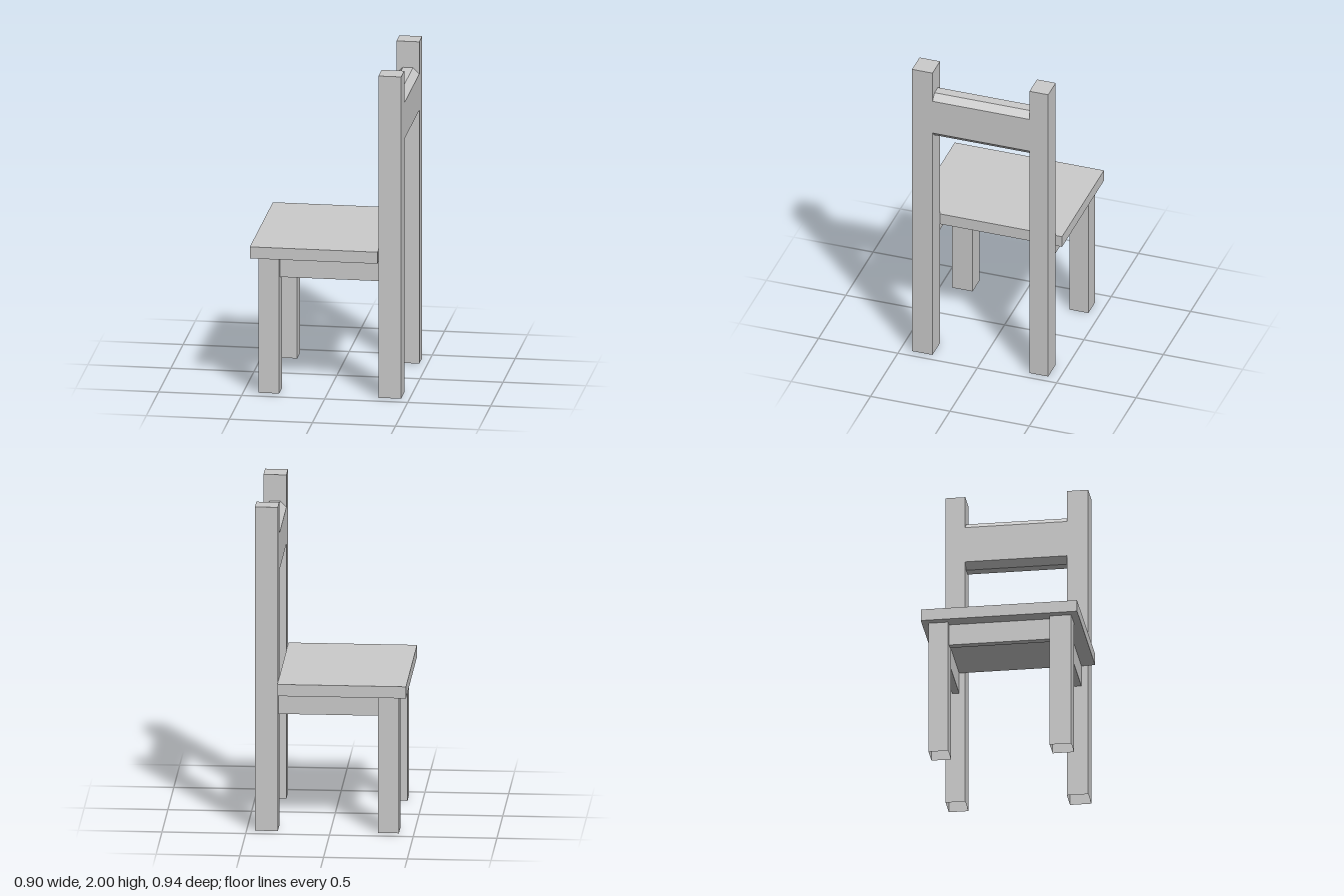
import * as THREE from 'three';

export function createModel() {
  const chair = new THREE.Group();
  chair.name = 'chair';
  const material = new THREE.MeshStandardMaterial({ color: 0xcccccc, flatShading: true });
  const openMaterial = material.clone();
  openMaterial.side = THREE.DoubleSide;

  // Box given by its extents; openBottom leaves the lower face out
  function box(name, [x0, x1], [y0, y1], [z0, z1], openBottom = false) {
    const geometry = new THREE.BoxGeometry(x1 - x0, y1 - y0, z1 - z0);
    if (openBottom) {
      const index = Array.from(geometry.index.array);
      index.splice(18, 6);
      geometry.setIndex(index);
      geometry.clearGroups();
    }
    const mesh = new THREE.Mesh(geometry, openBottom ? openMaterial : material);
    mesh.name = name;
    mesh.position.set((x0 + x1) / 2, (y0 + y1) / 2, (z0 + z1) / 2);
    chair.add(mesh);
  }

  const seatBottom = 0.845, seatTop = 0.917, apronBottom = 0.713;
  const backX = [0.313, 0.45], frontX = [-0.41, -0.285];

  // Seat board
  box('seat', [-0.455, backX[0]], [seatBottom, seatTop], [-0.47, 0.47]);

  // Legs, back posts and side aprons, one set per side
  const sides = [['left', [0.299, 0.428], [0.345, 0.387]], ['right', [-0.43, -0.312], [-0.39, -0.348]]];
  for (const [side, legZ, apronZ] of sides) {
    box(side + 'FrontLeg', frontX, [0, seatBottom], legZ, true);
    box(side + 'BackPost', backX, [0, 2], legZ, true);
    box(side + 'Apron', [frontX[1], backX[0]], [apronBottom, seatBottom], apronZ);
  }

  // Front apron between the front legs
  box('frontApron', [-0.37, -0.328], [apronBottom, seatBottom], [-0.312, 0.299]);

  // Back rail: chamfered bar between the posts, flush with their faces
  const [x0, x1] = backX, y0 = 1.537, y1 = 1.838, c = 0.038;
  const profile = new THREE.Shape([
    [x0 + c, y0], [x1 - c, y0], [x1, y0 + c], [x1, y1 - c],
    [x1 - c, y1], [x0 + c, y1], [x0, y1 - c], [x0, y0 + c],
  ].map(([x, y]) => new THREE.Vector2(x, y)));
  const rail = new THREE.Mesh(
    new THREE.ExtrudeGeometry(profile, { depth: 0.611, bevelEnabled: false }), material);
  rail.name = 'backRail';
  rail.position.z = -0.312;
  chair.add(rail);

  return chair;
}
